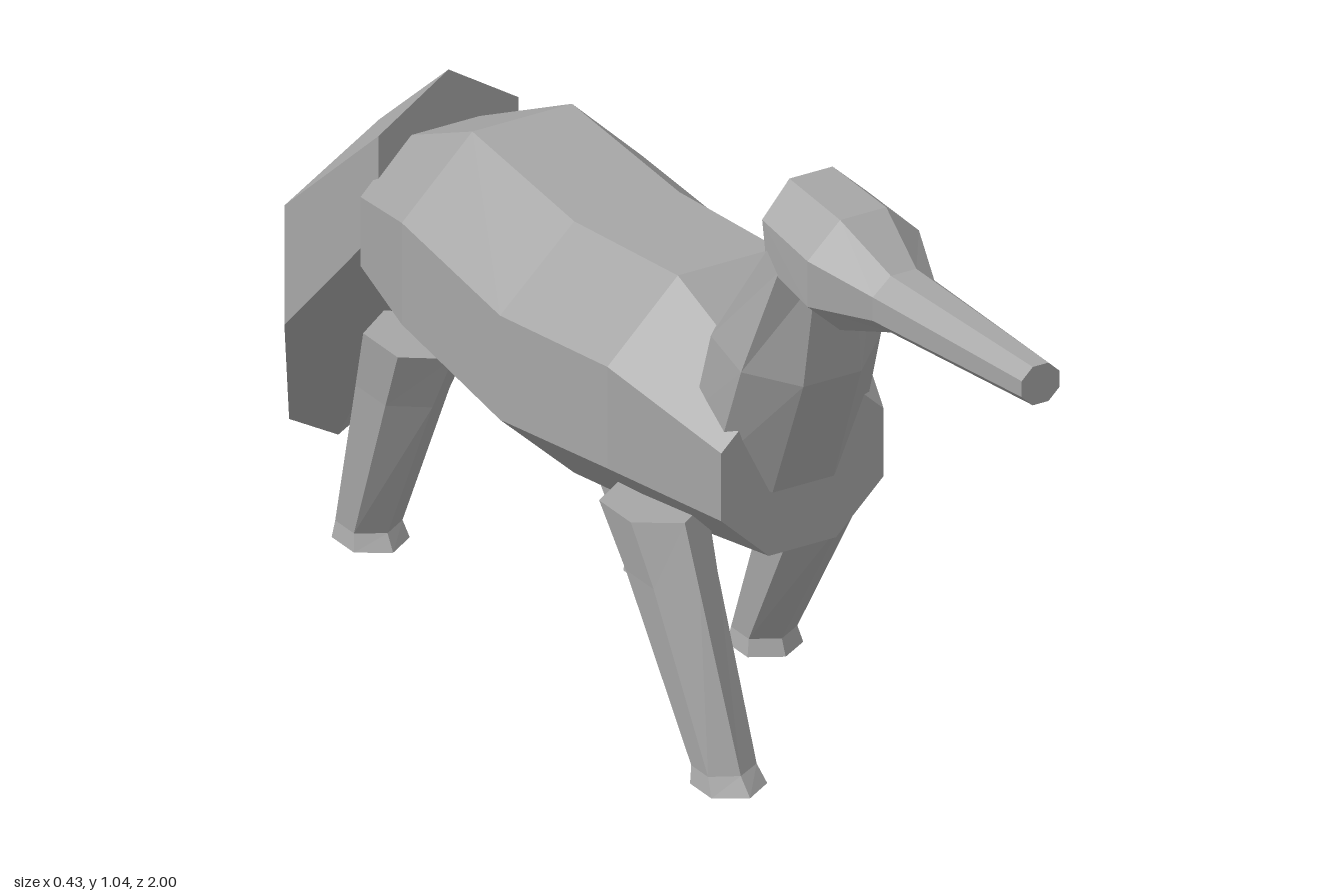
import * as THREE from 'three';

const grey = new THREE.MeshStandardMaterial({ color: 0xa6a6a6, flatShading: true });
grey.name = 'plain grey';

// Ring in a plane containing x: a and b are opposite [z, y] extents, hw the half width.
function ring(n, [cx, hw, a, b]) {
  const cz = (a[0] + b[0]) / 2, cy = (a[1] + b[1]) / 2;
  const dz = a[0] - cz, dy = a[1] - cy;
  const flat = n === 8;
  const along = flat ? 1 / Math.cos(Math.PI / 8) : 1;
  const across = hw / (flat ? Math.cos(Math.PI / 8) : Math.sin(Math.PI / 3));
  return Array.from({ length: n }, (_, i) => {
    const t = ((i + (flat ? 0.5 : 0)) / n) * Math.PI * 2;
    const u = Math.cos(t) * along;
    return [cx + Math.sin(t) * across, cy + dy * u, cz + dz * u];
  });
}

// Closed faceted skin through a series of rings
function loft(name, n, sections) {
  const rings = sections.map((s) => ring(n, s));
  const pos = [];
  const tri = (...pts) => pts.forEach((p) => pos.push(...p));
  for (let r = 0; r < rings.length - 1; r++) {
    const p = rings[r], q = rings[r + 1];
    for (let i = 0; i < n; i++) {
      const j = (i + 1) % n;
      tri(p[i], p[j], q[j]);
      tri(p[i], q[j], q[i]);
    }
  }
  const first = rings[0], last = rings[rings.length - 1];
  for (let i = 1; i < n - 1; i++) {
    tri(first[0], first[i + 1], first[i]);
    tri(last[0], last[i], last[i + 1]);
  }
  const geo = new THREE.BufferGeometry();
  geo.setAttribute('position', new THREE.Float32BufferAttribute(pos, 3));
  geo.computeVertexNormals();
  const mesh = new THREE.Mesh(geo, grey);
  mesh.name = name;
  return mesh;
}

// Leg from hoof to hip; each level is [y, front z, back z, half width]
function leg(name, x, levels) {
  return loft(name, 6, levels.map(([y, f, b, hw]) => [x, hw, [f, y], [b, y]]));
}

export function createModel() {
  const model = new THREE.Group();
  model.name = 'animal';

  // Torso, chest to rump
  model.add(loft('body', 8, [
    [0, 0.137, [0.41, 0.70], [0.41, 0.44]],
    [0, 0.203, [0.21, 0.81], [0.21, 0.42]],
    [0, 0.214, [-0.06, 0.785], [-0.06, 0.385]],
    [0, 0.203, [-0.34, 0.81], [-0.34, 0.42]],
    [0, 0.134, [-0.56, 0.705], [-0.56, 0.44]],
  ]));

  // Neck, base to throat
  model.add(loft('neck', 8, [
    [0, 0.125, [0.412, 0.54], [0.28, 0.70]],
    [0, 0.118, [0.49, 0.74], [0.295, 0.80]],
    [0, 0.083, [0.50, 0.91], [0.425, 0.965]],
  ]));

  // Head with long snout, nose tip to nape
  model.add(loft('head', 8, [
    [0.03, 0.032, [1, 0.967], [1, 0.906]],
    [0.013, 0.052, [0.66, 0.977], [0.66, 0.887]],
    [0.008, 0.094, [0.56, 1.03], [0.56, 0.855]],
    [0.005, 0.088, [0.425, 1.04], [0.455, 0.875]],
  ]));

  // Bushy tail swept to one side
  model.add(loft('tail', 6, [
    [0.005, 0.118, [-0.545, 0.80], [-0.545, 0.50]],
    [0.052, 0.16, [-0.805, 0.60], [-0.805, 0.22]],
    [0.106, 0.083, [-1, 0.19], [-1, 0.003]],
  ]));

  // Legs in walking stride
  model.add(leg('frontLeftLeg', 0.142, [
    [0.115, 0.14, 0.03, 0.047], [0.14, 0.13, 0.035, 0.041],
    [0.39, 0.29, 0.13, 0.054], [0.48, 0.335, 0.155, 0.064],
  ]));
  model.add(leg('frontRightLeg', -0.145, [
    [0.115, 0.50, 0.385, 0.047], [0.14, 0.475, 0.385, 0.041],
    [0.39, 0.365, 0.215, 0.054], [0.48, 0.325, 0.155, 0.064],
  ]));
  model.add(leg('backLeftLeg', 0.142, [
    [0.115, -0.13, -0.25, 0.047], [0.14, -0.15, -0.245, 0.041],
    [0.39, -0.27, -0.45, 0.054], [0.48, -0.30, -0.475, 0.064],
  ]));
  model.add(leg('backRightLeg', -0.142, [
    [0.105, -0.46, -0.58, 0.047], [0.13, -0.475, -0.575, 0.041],
    [0.38, -0.355, -0.515, 0.054], [0.48, -0.30, -0.485, 0.064],
  ]));

  return model;
}
